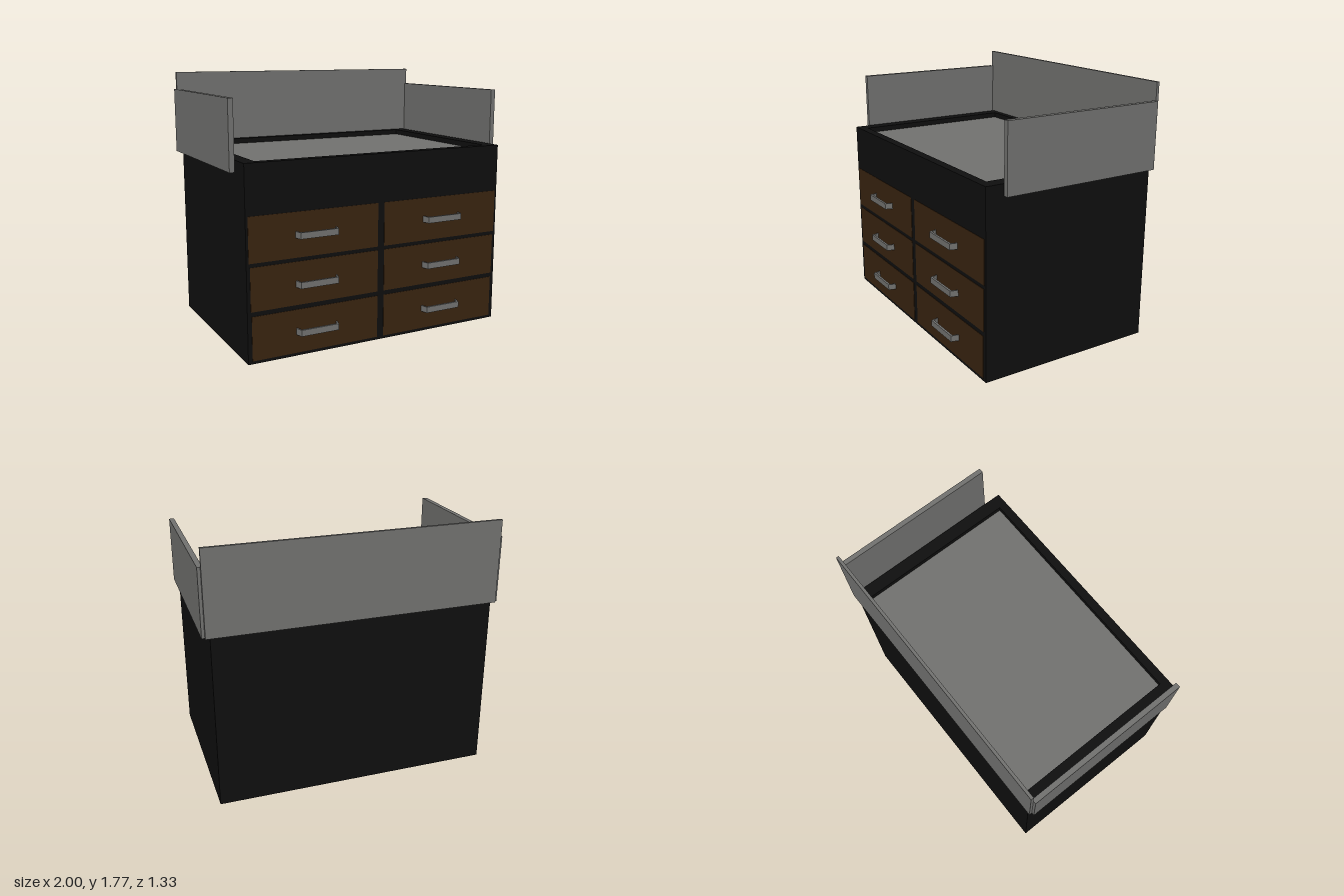
import * as THREE from 'three';

function material(name, color) {
  const m = new THREE.MeshStandardMaterial({ color });
  m.name = name;
  return m;
}

export function createModel() {
  const black = material('black', 0x0e0e0e);
  const brown = material('dark brown', 0x38230f);
  const grey = material('grey', 0x70706e);
  const model = new THREE.Group();
  model.name = 'drawerDresser';

  function add(name, geometry, mat) {
    const mesh = new THREE.Mesh(geometry, mat);
    mesh.name = name;
    model.add(mesh);
    return mesh;
  }

  // Box given by its minimum and maximum corners
  function box(name, mat, x0, x1, y0, y1, z0, z1) {
    const mesh = add(name, new THREE.BoxGeometry(x1 - x0, y1 - y0, z1 - z0), mat);
    mesh.position.set((x0 + x1) / 2, (y0 + y1) / 2, (z0 + z1) / 2);
    return mesh;
  }

  function rectangle(path, x0, x1, y0, y1) {
    path.moveTo(x0, y0);
    path.lineTo(x1, y0);
    path.lineTo(x1, y1);
    path.lineTo(x0, y1);
    path.closePath();
    return path;
  }

  // Cabinet with a raised rim around a shallow recessed top
  const front = 0.61, back = -0.65, recess = 1.23;
  box('cabinet', black, -0.95, 0.95, 0, recess, back, front);
  const rimShape = rectangle(new THREE.Shape(), -0.95, 0.95, -front, -back);
  rimShape.holes.push(rectangle(new THREE.Path(), -0.86, 0.86, -0.55, 0.6));
  const rim = add('topRim', new THREE.ExtrudeGeometry(rimShape, { depth: 0.04, bevelEnabled: false }), black);
  rim.rotation.x = -Math.PI / 2;
  rim.position.y = recess;
  box('topPanel', grey, -0.86, 0.86, recess, recess + 0.004, -0.6, 0.55);

  // Bracket handle outline seen from above, extruded vertically
  const outline = [
    [-0.147, 0], [-0.133, 0.055], [0.133, 0.055], [0.147, 0],
    [0.137, 0], [0.126, 0.04], [-0.126, 0.04], [-0.137, 0],
  ];
  const handleShape = new THREE.Shape(outline.map(([x, z]) => new THREE.Vector2(x, -z)));
  const handleGeometry = new THREE.ExtrudeGeometry(handleShape, { depth: 0.042, bevelEnabled: false });
  handleGeometry.rotateX(-Math.PI / 2);
  handleGeometry.translate(0, -0.021, 0);

  // Three rows of paired drawer fronts, slightly narrower towards the floor
  const rows = [
    { y0: 0.02, y1: 0.31, outer: 0.922, handleY: 0.165 },
    { y0: 0.34, y1: 0.625, outer: 0.927, handleY: 0.48 },
    { y0: 0.65, y1: 0.945, outer: 0.935, handleY: 0.8 },
  ];
  for (const { y0, y1, outer, handleY } of rows) {
    for (const side of [-1, 1]) {
      const a = side * 0.024, b = side * outer;
      box('drawerFront', brown, Math.min(a, b), Math.max(a, b), y0, y1, front - 0.002, front + 0.003);
      add('drawerHandle', handleGeometry, grey).position.set(side * 0.475, handleY, front);
    }
  }

  // Guard panels around the top
  box('backGuard', grey, -0.98, 0.98, 1.2, 1.77, -0.665, -0.645);
  box('leftGuard', grey, 0.966, 1, 1.2, 1.65, -0.645, 0.495);
  box('rightGuard', grey, -1, -0.966, 1.2, 1.65, -0.645, 0.495);

  return model;
}
